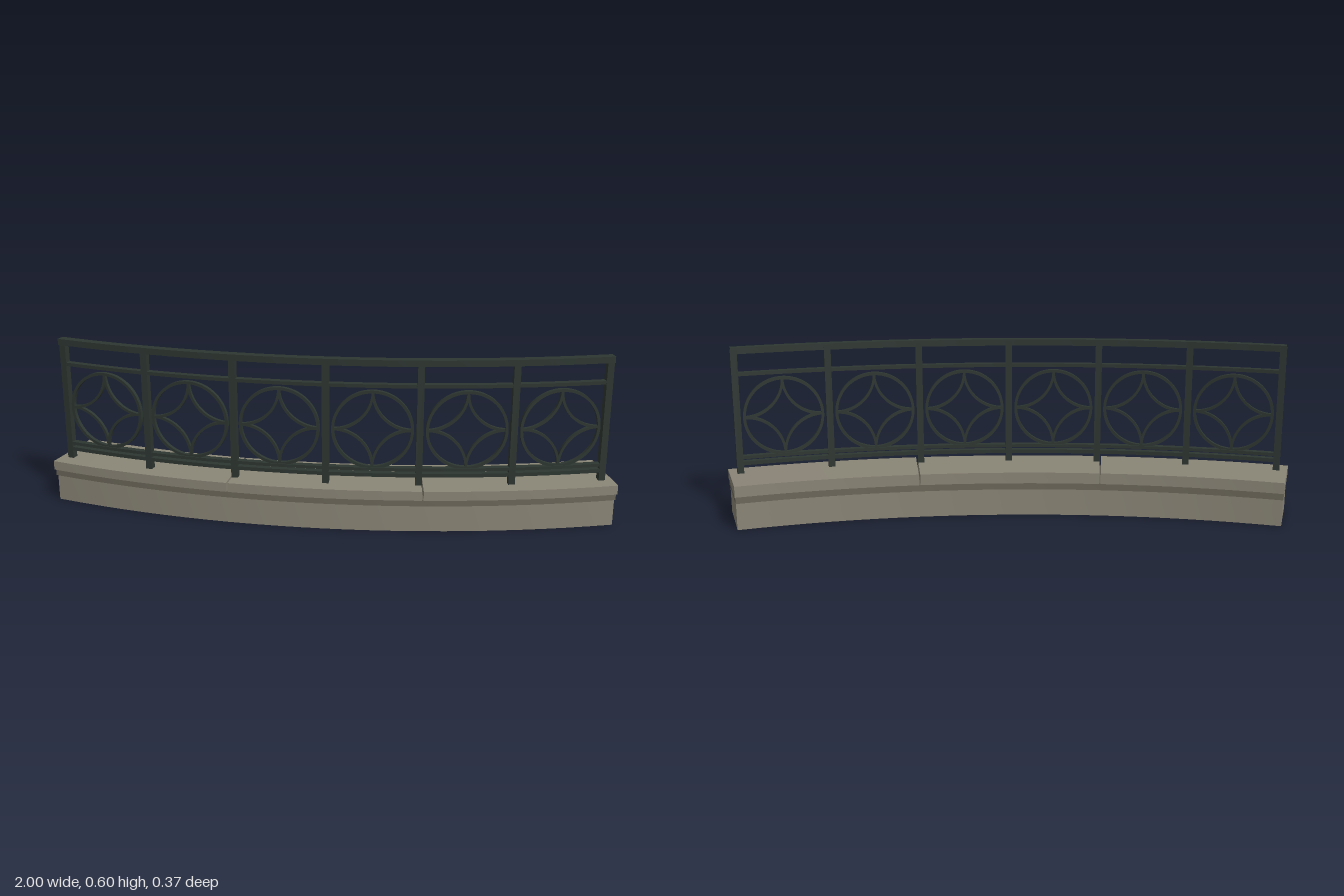
import * as THREE from 'three';
import { mergeGeometries, toCreasedNormals } from 'three/addons/utils/BufferGeometryUtils.js';

const CENTRE_Z = -3.245;      // centre of the plan curve
const RAIL_R = 3.367;         // radius of the railing line
const BAYS = 6;
const BAY_ANGLE = 0.0948;

const mat = (name, color) => {
  const m = new THREE.MeshStandardMaterial({ color });
  m.name = name;
  return m;
};

// Solid swept around the plan curve; section is [radius, y] points, counter-clockwise
function arcSolid(section, from, to, segments) {
  const pts = section.map(([r, y]) => new THREE.Vector2(r, y));
  const side = new THREE.LatheGeometry([...pts, pts[0].clone()], segments, from, to - from);
  const cap = (phi, flip) => {
    const g = new THREE.ShapeGeometry(new THREE.Shape(pts));
    if (flip) g.setIndex(Array.from(g.index.array).reverse());
    return g.rotateY(phi - Math.PI / 2);
  };
  return toCreasedNormals(mergeGeometries([side, cap(from, false), cap(to, true)]), 0.5);
}

const rect = (r0, r1, y0, y1) => [[r0, y0], [r1, y0], [r1, y1], [r0, y1]];

// Flat bar bent into an arc in the XY plane
function arcBar(cx, cy, radius, start, end, width, depth) {
  const s = new THREE.Shape();
  s.absarc(cx, cy, radius + width / 2, start, end, false);
  s.absarc(cx, cy, radius - width / 2, end, start, true);
  const g = new THREE.ExtrudeGeometry(s, { depth, bevelEnabled: false, curveSegments: 20 });
  return toCreasedNormals(g.translate(0, 0, -depth / 2), 0.5);
}

export function createModel() {
  const model = new THREE.Group();
  model.name = 'curvedBalustrade';
  const curve = new THREE.Group();
  curve.name = 'balustradeCurve';
  curve.position.z = CENTRE_Z;
  model.add(curve);

  const stone = mat('stone', 0x8a8576);
  const darkStone = mat('shadowStone', 0x6c675a);
  const iron = mat('darkIron', 0x2d3631);

  const add = (parent, name, geometry, material) => {
    const m = new THREE.Mesh(geometry, material);
    m.name = name;
    parent.add(m);
    return m;
  };

  // Stone plinth and moulding
  add(curve, 'plinth', arcSolid(rect(3.209, 3.415, 0, 0.096), -0.2948, 0.2948, 24), stone);
  add(curve, 'moulding', arcSolid(rect(3.203, 3.422, 0.096, 0.12), -0.2953, 0.2953, 24), darkStone);

  // Three coping stones with narrow joints, tops sloping to the front
  const half = 0.2958, gap = 0.0008;
  const coping = [[3.199, 0.12], [3.43, 0.12], [3.43, 0.153], [3.199, 0.159]];
  for (let i = 0; i < 3; i++) {
    const a = -half + (i * 2 * half) / 3 + (i > 0 ? gap : 0);
    const b = -half + ((i + 1) * 2 * half) / 3 - (i < 2 ? gap : 0);
    add(curve, 'copingStone' + (i + 1), arcSolid(coping, a, b, 8), stone);
  }

  // Horizontal rails
  const railEnd = BAYS / 2 * BAY_ANGLE;
  add(curve, 'handrail', arcSolid(rect(3.357, 3.387, 0.58, 0.602), -railEnd - 0.003, railEnd + 0.003, 36), iron);
  const rails = { upperRail: [0.503, 0.515], lowerRail: [0.206, 0.217], bottomRail: [0.184, 0.197] };
  for (const [name, [y0, y1]] of Object.entries(rails)) {
    add(curve, name, arcSolid(rect(RAIL_R - 0.011, RAIL_R + 0.011, y0, y1), -railEnd, railEnd, 36), iron);
  }

  // Group standing on the railing line at a given angle
  const station = (name, phi) => {
    const g = new THREE.Group();
    g.name = name;
    g.position.set(RAIL_R * Math.sin(phi), 0, RAIL_R * Math.cos(phi));
    g.rotation.y = phi;
    curve.add(g);
    return g;
  };

  // Posts
  const postGeometry = new THREE.BoxGeometry(0.023, 0.445, 0.023);
  for (let i = 0; i <= BAYS; i++) {
    const g = station('postStation' + (i + 1), (i - BAYS / 2) * BAY_ANGLE);
    add(g, 'post', postGeometry, iron).position.y = 0.3725;
  }

  // Ring with four inward-curving bars in every bay
  const R = 0.135;
  const ringShape = new THREE.Shape().absarc(0, 0, R + 0.005, 0, Math.PI * 2, false);
  ringShape.holes.push(new THREE.Path().absarc(0, 0, R - 0.005, 0, Math.PI * 2, true));
  const ringGeometry = toCreasedNormals(
    new THREE.ExtrudeGeometry(ringShape, { depth: 0.014, bevelEnabled: false, curveSegments: 48 })
      .translate(0, 0, -0.007), 0.5);
  const barGeometry = arcBar(R, R, R, Math.PI, Math.PI * 1.5, 0.009, 0.012);
  for (let i = 0; i < BAYS; i++) {
    const g = station('ringPanel' + (i + 1), (i - (BAYS - 1) / 2) * BAY_ANGLE);
    g.position.y = 0.352;
    add(g, 'ring', ringGeometry, iron);
    for (let k = 0; k < 4; k++) {
      add(g, 'curvedBar' + (k + 1), barGeometry, iron).rotation.z = k * Math.PI / 2;
    }
  }
  return model;
}
